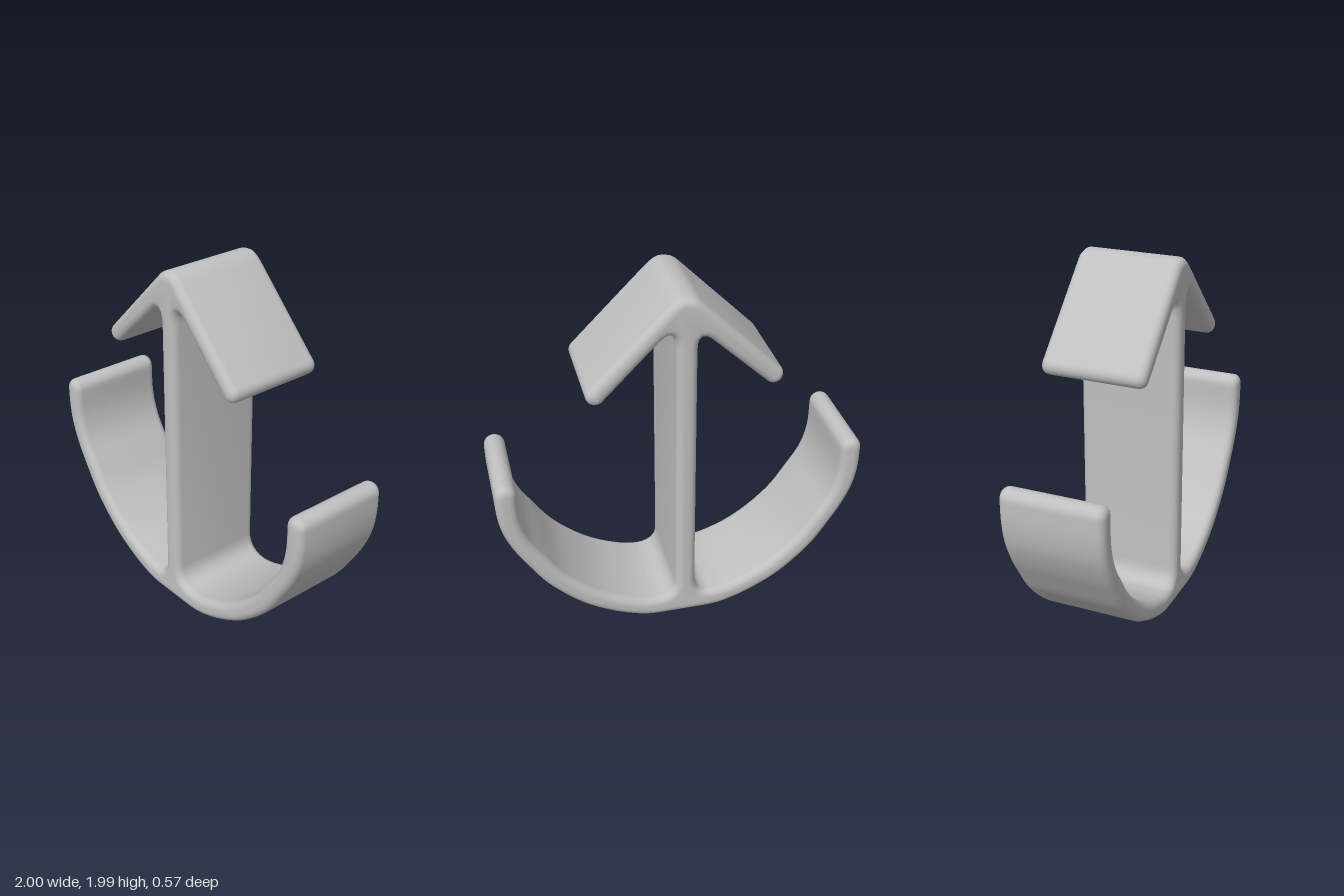
import * as THREE from 'three';
import { toCreasedNormals } from 'three/addons/utils/BufferGeometryUtils.js';

const V = (list) => list.map(([x, y]) => new THREE.Vector2(x, y));

// Half of the outline, from the bottom centre round to the apex.
// stem: stem edge distance from x = 0; tipX: centre of the rounded head tip.
function halfOutline(stem, tipX) {
  const p = new THREE.Path();
  // outside of the curved arm
  p.moveTo(0, 0.005);
  p.lineTo(0.15, 0.005);
  p.splineThru(V([[0.25, 0.02], [0.41, 0.08], [0.58, 0.18], [0.75, 0.34], [0.86, 0.5],
    [0.925, 0.61], [0.975, 0.73], [0.997, 0.85], [1, 0.972]]));
  // rounded arm end
  p.absarc(0.943, 0.972, 0.057, 0, Math.PI, false);
  // inside of the curved arm
  p.splineThru(V([[0.88, 0.81], [0.84, 0.67], [0.76, 0.54], [0.66, 0.4], [0.53, 0.28],
    [0.4, 0.195], [0.25, 0.135], [0.16, 0.12]]));
  // stem with a fillet at each end
  p.quadraticCurveTo(stem, 0.12, stem, 0.23);
  const inner = 1.89;
  p.lineTo(stem, inner - stem - 0.13);
  p.quadraticCurveTo(stem, inner - stem, stem + 0.09, inner - stem - 0.09);
  // head blade with a rounded tip
  p.absarc(tipX, 1.5, 0.05, -Math.PI * 0.75, Math.PI * 0.25, false);
  const outer = tipX + 1.5 + 0.05 * Math.SQRT2;
  p.lineTo(0.09, outer - 0.09);
  p.quadraticCurveTo(outer - 1.99, 1.99, 0, 1.99);
  // drop nearly coincident points
  const pts = [];
  for (const q of p.getPoints(6)) {
    if (!pts.length || pts[pts.length - 1].distanceTo(q) > 0.002) pts.push(q);
  }
  return pts;
}

export function createModel() {
  const group = new THREE.Group();
  group.name = 'anchorArrow';
  const grey = new THREE.MeshStandardMaterial({ color: 0xc0c0c0 });
  grey.name = 'lightGrey';

  const right = halfOutline(0.042, 0.454);
  const left = halfOutline(0.07, 0.477)
    .map((q) => new THREE.Vector2(-q.x, q.y)).reverse().slice(1, -1);

  // one solid, extruded along z with rounded edges
  const bevel = 0.042, depth = 0.57;
  const geometry = new THREE.ExtrudeGeometry(new THREE.Shape([...right, ...left]), {
    depth: depth - 2 * bevel,
    bevelEnabled: true,
    bevelThickness: bevel,
    bevelSize: bevel,
    bevelOffset: -bevel,
    bevelSegments: 5,
  });
  geometry.translate(0, 0, -(depth - 2 * bevel) / 2);

  const body = new THREE.Mesh(toCreasedNormals(geometry, 0.6), grey);
  body.name = 'anchorBody';
  group.add(body);
  return group;
}
